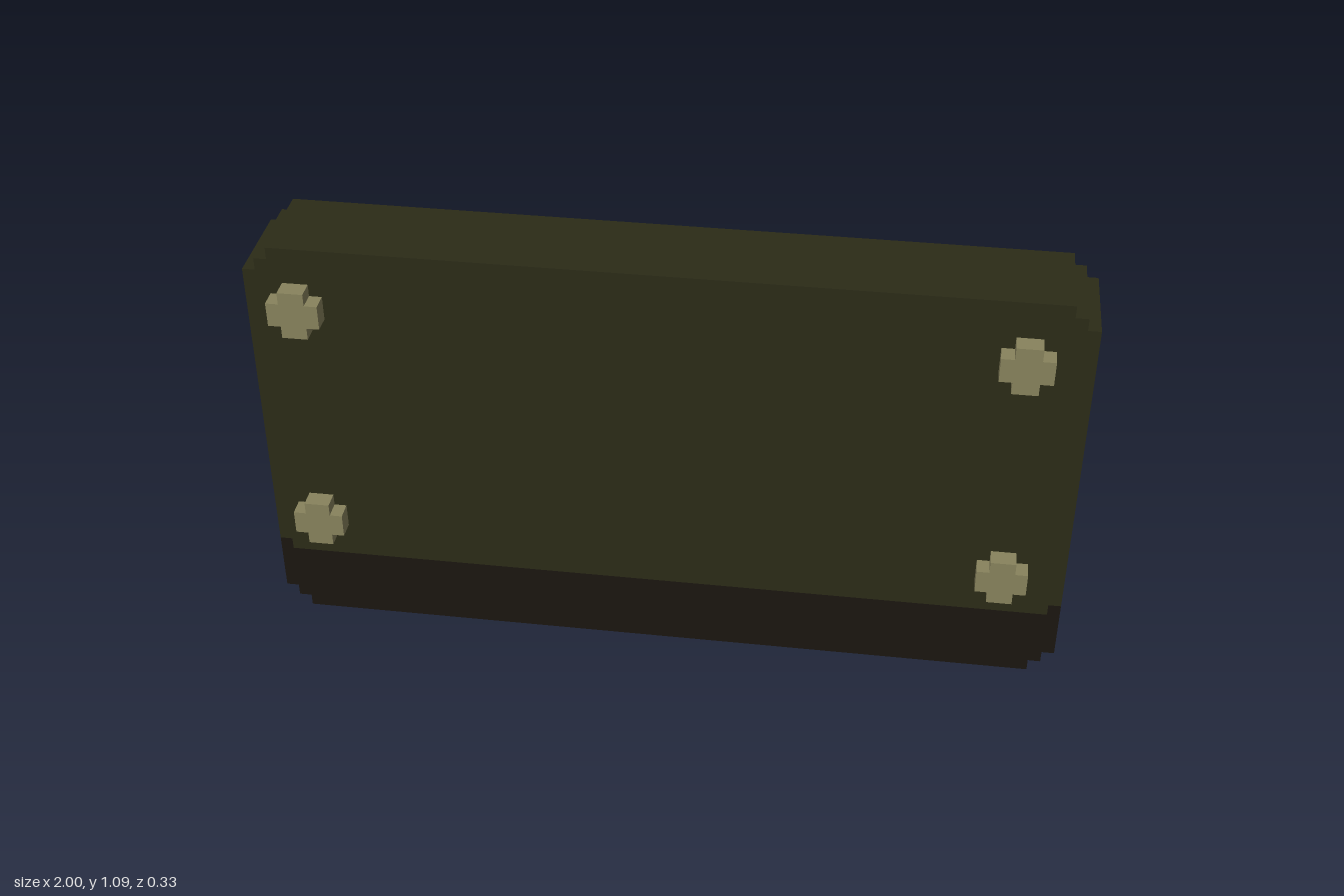
import * as THREE from 'three';

const U = 1 / 32; // one block step
const BODY_DEPTH = 0.234;
const BOLT_DEPTH = 0.046;

const material = (color) => new THREE.MeshStandardMaterial({ color, flatShading: true });

// Extrudes an outline given in block steps, starting at depth z
function extrude(name, points, z, depth, mat) {
  const shape = new THREE.Shape(points.map(([x, y]) => new THREE.Vector2(x * U, y * U)));
  const geometry = new THREE.ExtrudeGeometry(shape, { depth, bevelEnabled: false });
  geometry.translate(0, 0, z);
  const mesh = new THREE.Mesh(geometry, mat);
  mesh.name = name;
  return mesh;
}

// Completes a right-hand outline (bottom to top) with its mirror image
const mirrored = (half) => [...half, ...half.map(([x, y]) => [-x, y]).reverse()];

export function createModel() {
  const group = new THREE.Group();
  group.name = 'plate';
  const green = material(0x2b2b17);
  const dark = material(0x1b1610);
  const brass = material(0x88835d);

  // Slab: upper panel and dark lower band, both with stepped corners
  const upper = mirrored([[31, 6], [31, 7], [32, 7], [32, 33], [31, 33], [31, 34], [30, 34], [30, 35]]);
  const lower = mirrored([[30, 0], [30, 1], [31, 1], [31, 2], [32, 2], [32, 7], [31, 7], [31, 6]]);
  group.add(extrude('upperPanel', upper, -BODY_DEPTH / 2, BODY_DEPTH, green));
  group.add(extrude('lowerBand', lower, -BODY_DEPTH / 2, BODY_DEPTH, dark));

  // Cross-shaped bolts, four on the front and four on the back
  const cross = mirrored([[1, -2], [1, -1], [2, -1], [2, 1], [1, 1], [1, 2]]);
  for (const x of [-28, 27]) {
    for (const y of [10, 30]) {
      for (const [side, z] of [['front', BODY_DEPTH / 2], ['back', -BODY_DEPTH / 2 - BOLT_DEPTH]]) {
        const bolt = extrude(`${side}Bolt`, cross, z, BOLT_DEPTH, brass);
        bolt.position.set(x * U, y * U, 0);
        group.add(bolt);
      }
    }
  }
  return group;
}
